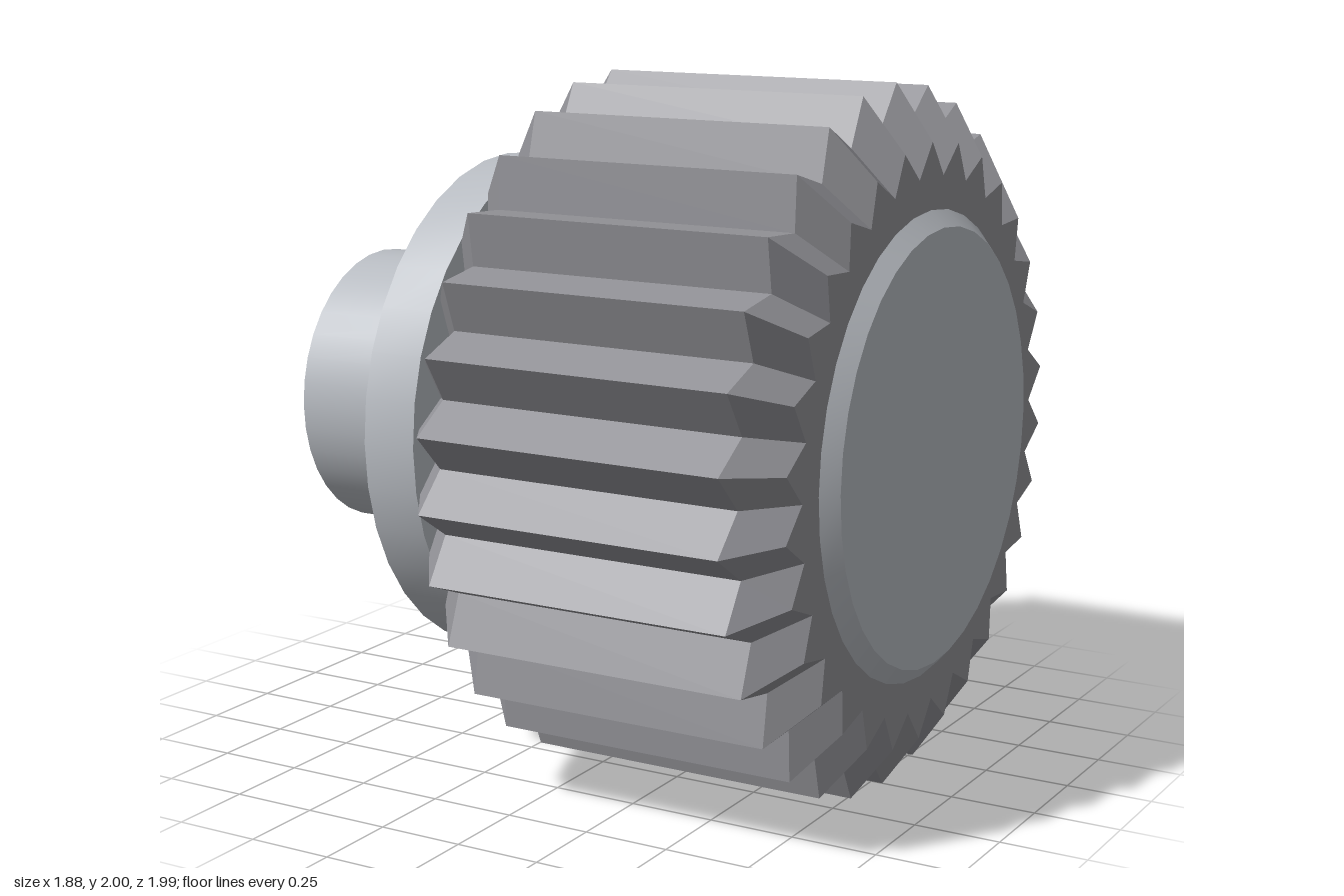
import * as THREE from 'three';
import { toCreasedNormals } from 'three/addons/utils/BufferGeometryUtils.js';

const TEETH = 30;
const VALLEY = 0.89; // valley radius relative to the tooth tip

// Solid of revolution about the x axis; profile points are [radius, x]
function turned(name, profile, material) {
  const points = profile.map(([r, x]) => new THREE.Vector2(r, x));
  const geometry = new THREE.LatheGeometry(points, 36).rotateZ(-Math.PI / 2);
  const mesh = new THREE.Mesh(toCreasedNormals(geometry, Math.PI / 6), material);
  mesh.name = name;
  return mesh;
}

// Toothed drum lofted through star-shaped rings; rings are [x, scale]
function toothedDrum(rings, material) {
  const count = TEETH * 2;
  const point = ([x, scale], i) => {
    const angle = (i / count) * Math.PI * 2;
    const r = scale * (i % 2 ? VALLEY : 1);
    return [x, r * Math.cos(angle), r * Math.sin(angle)];
  };
  const positions = [];
  for (let j = 0; j < rings.length - 1; j++) {
    for (let i = 0; i < count; i++) {
      const a = point(rings[j], i);
      const b = point(rings[j], i + 1);
      const c = point(rings[j + 1], i + 1);
      const d = point(rings[j + 1], i);
      if (rings[j][1] > 0) positions.push(...a, ...b, ...c);
      if (rings[j + 1][1] > 0) positions.push(...a, ...c, ...d);
    }
  }
  const geometry = new THREE.BufferGeometry();
  geometry.setAttribute('position', new THREE.Float32BufferAttribute(positions, 3));
  geometry.computeVertexNormals();
  const mesh = new THREE.Mesh(geometry, material);
  mesh.name = 'toothedDrum';
  return mesh;
}

export function createModel() {
  const metal = new THREE.MeshStandardMaterial({ color: 0xb8bcc2 });
  metal.name = 'light metal';
  const grip = new THREE.MeshStandardMaterial({ color: 0x929297 });
  grip.name = 'grey grip';

  const model = new THREE.Group();
  model.name = 'knob';
  const body = new THREE.Group();
  body.name = 'body';
  body.position.y = 1;
  model.add(body);

  // Drum with chamfered teeth and closed ends
  body.add(toothedDrum([
    [-0.21, 0], [-0.21, 0.855], [-0.115, 1], [0.785, 1], [0.895, 0.845], [0.895, 0],
  ], grip));

  // Bevelled disc on the outer face
  body.add(turned('faceDisc', [[0, 0.89], [0.66, 0.89], [0.66, 0.895], [0.615, 0.935], [0, 0.935]], metal));

  // Flange with a slightly conical back, standing clear of the drum
  body.add(turned('flange', [[0, -0.49], [0.415, -0.49], [0.74, -0.475], [0.74, -0.31], [0, -0.31]], metal));

  // Shaft
  body.add(turned('shaft', [[0, -0.94], [0.415, -0.94], [0.415, -0.48], [0, -0.48]], metal));

  return model;
}
